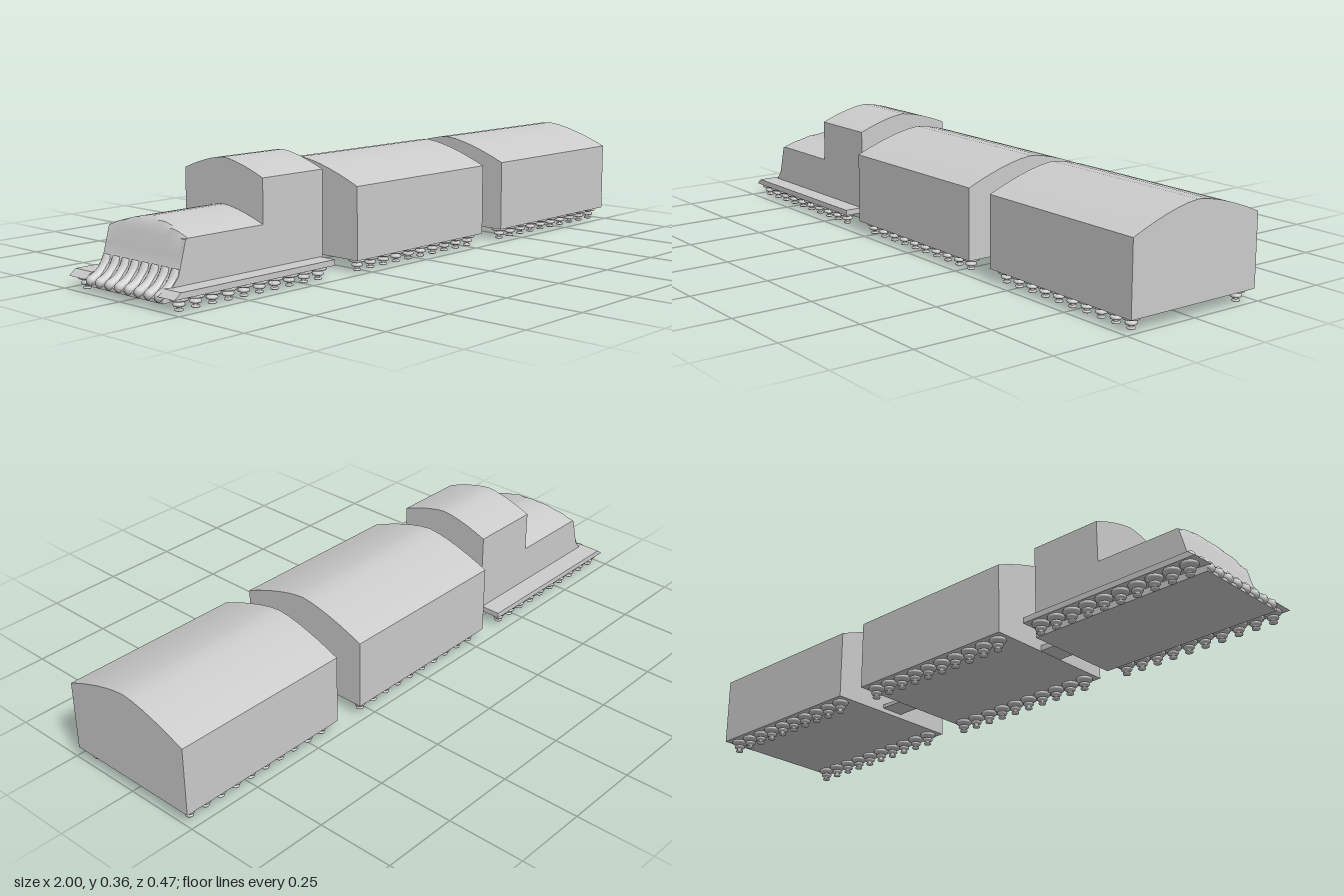
import * as THREE from 'three';
import { toCreasedNormals } from 'three/addons/utils/BufferGeometryUtils.js';

const material = new THREE.MeshStandardMaterial({ color: 0xcccccc });
const BODY_HALF = 0.166, BODY_Z = 0.004;

function add(parent, name, geometry) {
  const mesh = new THREE.Mesh(geometry, material);
  mesh.name = name;
  parent.add(mesh);
  return mesh;
}

// Height of a gently arched roof at z
const roof = (z, half, side, peak) =>
  side + (peak - side) * (1 - Math.pow(Math.min(1, Math.abs(z) / half), 1.5));

// Box with an arched top, running along x
function archedBox(x0, x1, half, bottom, side, peak) {
  const shape = new THREE.Shape();
  shape.moveTo(-half, bottom);
  shape.lineTo(half, bottom);
  for (let i = 12; i >= 0; i--) {
    const z = half * (i / 6 - 1);
    shape.lineTo(z, roof(z, half, side, peak));
  }
  const g = new THREE.ExtrudeGeometry(shape, { depth: x1 - x0, bevelEnabled: false });
  g.rotateY(Math.PI / 2).translate(x0, 0, 0);
  return toCreasedNormals(g, 0.35);
}

// Hood: arched cross-sections cut off by the sloping nose line
function hoodGeometry() {
  const nose = [[-0.99, 0.02], [-0.99, 0.03], [-0.96, 0.052], [-0.932, 0.085], [-0.918, 0.135],
    [-0.905, 0.182], [-0.897, 0.203], [-0.888, 0.217], [-0.875, 0.226], [-0.61, 0.226]];
  const n = 16, positions = [], index = [], ring = n + 3;
  for (const [x, limit] of nose) {
    positions.push(x, 0.02, -BODY_HALF);
    for (let j = 0; j <= n; j++) {
      const z = BODY_HALF * (2 * j / n - 1);
      positions.push(x, Math.min(limit, roof(z, BODY_HALF, 0.185, 0.226)), z);
    }
    positions.push(x, 0.02, BODY_HALF);
  }
  for (let i = 0; i < nose.length - 1; i++) {
    for (let j = 0; j < ring; j++) {
      const k = (j + 1) % ring;
      const a = i * ring + j, b = i * ring + k, c = b + ring, d = a + ring;
      index.push(a, b, c, a, c, d);
    }
  }
  const g = new THREE.BufferGeometry();
  g.setAttribute('position', new THREE.Float32BufferAttribute(positions, 3));
  g.setIndex(index);
  return toCreasedNormals(g, 0.5);
}

// Wheel: three rounded discs of shrinking size on a thin stem
function wheelGeometry() {
  const points = [new THREE.Vector2(0, 0.001)];
  for (const [y, r, h] of [[0.0045, 0.0125, 0.0035], [0.019, 0.0175, 0.005], [0.035, 0.0265, 0.006]]) {
    points.push(new THREE.Vector2(0.007, y - h));
    for (let i = 0; i <= 4; i++) {
      const a = (i / 4 - 0.5) * Math.PI;
      points.push(new THREE.Vector2(r - h + h * Math.cos(a), y + h * Math.sin(a)));
    }
    points.push(new THREE.Vector2(0.007, y + h));
  }
  return new THREE.LatheGeometry(points, 16);
}
const wheel = wheelGeometry();

function addWheels(parent, centerX) {
  const wheels = new THREE.Group();
  wheels.name = 'wheels';
  for (const side of [-1, 1]) {
    for (let i = 0; i < 10; i++) {
      add(wheels, 'wheel', wheel).position.set(centerX + (i - 4.5) * 0.0585, 0, side * 0.2);
    }
  }
  parent.add(wheels);
}

function createLocomotive() {
  const loco = new THREE.Group();
  loco.name = 'locomotive';
  add(loco, 'cab', archedBox(-0.62, -0.38, BODY_HALF, 0.02, 0.318, 0.363)).position.z = BODY_Z;
  add(loco, 'hood', hoodGeometry()).position.z = BODY_Z;

  // Rounded ribs sweeping down the front
  const path = new THREE.CatmullRomCurve3([[-0.984, 0.036], [-0.96, 0.048], [-0.938, 0.07], [-0.922, 0.1]]
    .map(([x, y]) => new THREE.Vector3(x, y, 0)));
  const rib = new THREE.TubeGeometry(path, 8, 0.016, 10);
  const tip = new THREE.SphereGeometry(0.016, 10, 8);
  for (let i = 0; i < 8; i++) {
    const z = BODY_Z + (i - 3.5) * 0.0425;
    add(loco, 'noseRib', rib).position.z = z;
    add(loco, 'noseRibTip', tip).position.set(-0.984, 0.036, z);
  }

  // Running boards along both sides, with a slanted front end
  const board = new THREE.Shape([[-0.998, 0.04], [-0.39, 0.04], [-0.39, 0.058], [-0.975, 0.058]]
    .map(([x, y]) => new THREE.Vector2(x, y)));
  for (const side of [-1, 1]) {
    const g = new THREE.ExtrudeGeometry(board, { depth: 0.075, bevelEnabled: false });
    add(loco, 'runningBoard', g).position.z = side > 0 ? 0.155 : -0.23;
  }
  addWheels(loco, -0.695);
  return loco;
}

function createCarriage(x0, x1) {
  const carriage = new THREE.Group();
  carriage.name = 'carriage';
  add(carriage, 'carriageBody', archedBox(x0, x1, 0.235, 0.04, 0.264, 0.332));
  addWheels(carriage, (x0 + x1) / 2);
  return carriage;
}

export function createModel() {
  const train = new THREE.Group();
  train.name = 'train';
  train.add(createLocomotive(), createCarriage(-0.3, 0.3), createCarriage(0.4, 1));
  // Flat couplers between the vehicles
  add(train, 'frontCoupler', new THREE.BoxGeometry(0.1, 0.018, 0.088)).position.set(-0.34, 0.05, -0.004);
  add(train, 'rearCoupler', new THREE.BoxGeometry(0.12, 0.012, 0.08)).position.set(0.35, 0.06, -0.004);
  return train;
}
